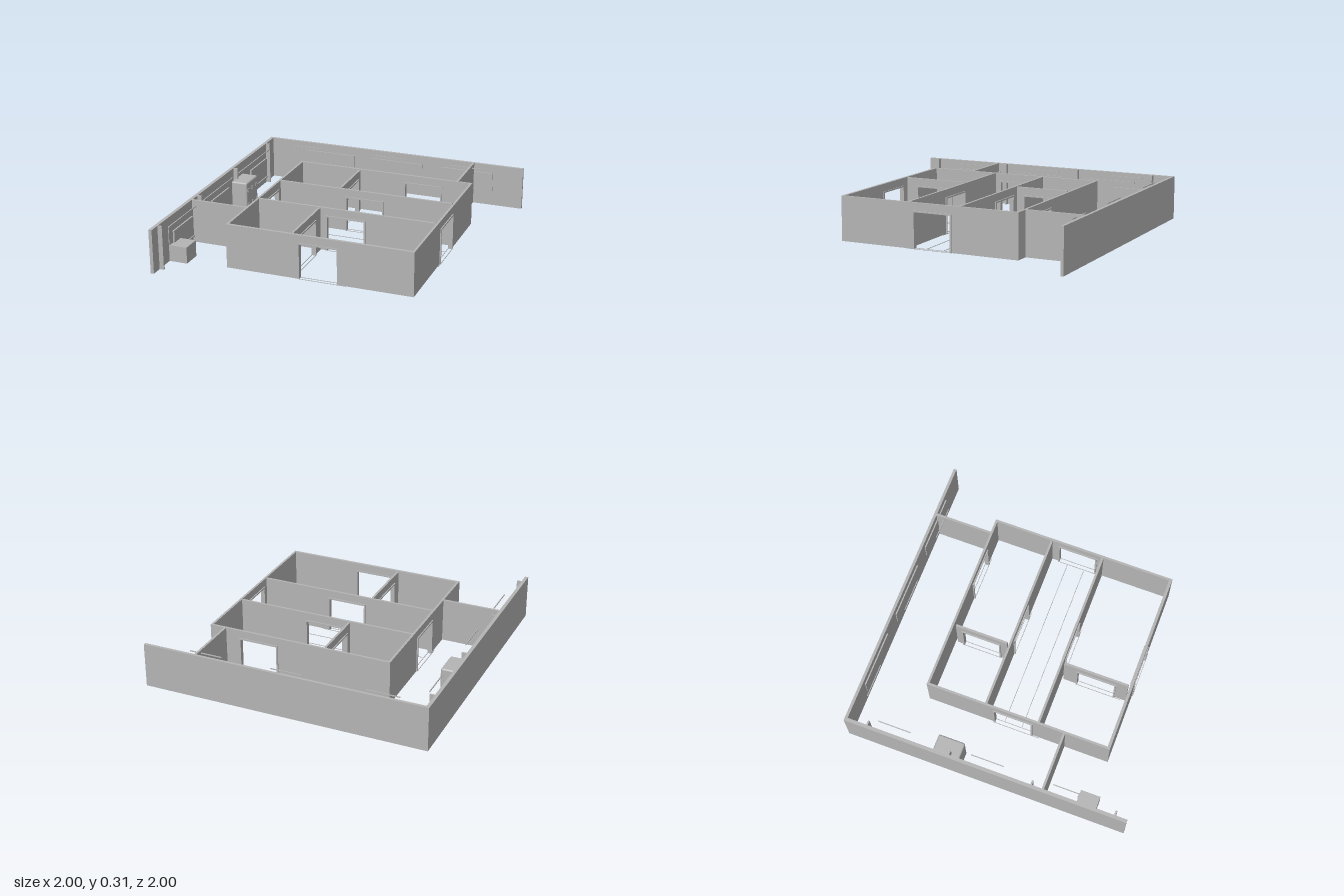
import * as THREE from 'three';
import { RoundedBoxGeometry } from 'three/addons/geometries/RoundedBoxGeometry.js';

const HEIGHT = 0.31, DOOR_TOP = 0.25, DOOR_WIDTH = 0.27;

export function createModel() {
  const model = new THREE.Group();
  model.name = 'floorPlan';
  const plaster = new THREE.MeshStandardMaterial({ color: 0xb4b4b4 });
  plaster.name = 'grey plaster';

  // Box given by its two extremes on each axis
  function box(name, x0, x1, y0, y1, z0, z1, parent = model) {
    const mesh = new THREE.Mesh(new THREE.BoxGeometry(x1 - x0, y1 - y0, z1 - z0), plaster);
    mesh.position.set((x0 + x1) / 2, (y0 + y1) / 2, (z0 + z1) / 2);
    mesh.name = name;
    parent.add(mesh);
    return mesh;
  }

  // Wall running along x or z, with an optional doorway starting at `door`
  function wall(name, axis, from, to, at, door = null, thick = 0.02) {
    const group = new THREE.Group();
    group.name = name;
    const outline = [[from, 0]];
    if (door !== null) {
      const end = door + DOOR_WIDTH;
      outline.push([door, 0], [door, DOOR_TOP], [end, DOOR_TOP], [end, 0]);
    }
    outline.push([to, 0], [to, HEIGHT], [from, HEIGHT]);
    const shape = new THREE.Shape(outline.map(([x, y]) => new THREE.Vector2(x, y)));
    const geometry = new THREE.ExtrudeGeometry(shape, { depth: thick, bevelEnabled: false });
    geometry.translate(0, 0, -thick / 2);
    const panel = new THREE.Mesh(geometry, plaster);
    panel.name = name + 'Panel';
    group.add(panel);

    if (door !== null) {
      // Door lining and the floor track that runs past the doorway
      const end = door + DOOR_WIDTH, d = 0.016;
      box('doorJamb', door - 0.008, door + 0.003, 0, DOOR_TOP, -d, d, group);
      box('doorJamb', end - 0.003, end + 0.008, 0, DOOR_TOP, -d, d, group);
      box('doorHead', door - 0.008, end + 0.008, DOOR_TOP - 0.004, DOOR_TOP + 0.006, -d, d, group);
      for (const s of [-1, 1]) {
        box('doorTrack', door - 0.008, end + 0.055, 0, 0.003, s * 0.014 - 0.002, s * 0.014 + 0.002, group);
      }
    }
    if (axis === 'z') {
      group.rotation.y = -Math.PI / 2;
      group.position.x = at;
    } else {
      group.position.z = at;
    }
    model.add(group);
  }

  // Boundary walls and the walls that join them to the rooms
  wall('backBoundary', 'x', -1, 1, -0.99);
  wall('rightBoundary', 'z', -1, 1, -0.988, null, 0.024);
  wall('backLink', 'z', -0.98, -0.575, 0.625, null, 0.016);
  wall('sideLink', 'x', -0.976, -0.57, 0.412, null, 0.016);

  // Room block
  wall('frontWall', 'x', -0.57, 0.735, 0.725, -0.053);
  wall('frontCorridorWall', 'x', -0.555, 0.715, 0.227, -0.053, 0.016);
  wall('backCorridorWall', 'x', -0.555, 0.715, -0.15, -0.053, 0.016);
  wall('rearWall', 'x', -0.57, 0.735, -0.567, 0.24, 0.016);
  wall('rightWall', 'z', -0.575, 0.735, -0.563, -0.09, 0.016);
  wall('leftWall', 'z', -0.575, 0.735, 0.727, -0.09, 0.016);
  wall('frontPartition', 'z', 0.245, 0.705, -0.105, 0.345, 0.016);
  wall('backPartition', 'z', -0.545, -0.17, -0.105, -0.495, 0.016);

  // Thin guide lines on the corridor floor
  for (const z of [-0.025, 0.1]) box('corridorLine', -0.54, 0.705, 0, 0.003, z - 0.002, z + 0.002);

  // Display boards and hanging rods along the back boundary
  for (const x of [-0.7, -0.155, 0.385]) {
    box('backBoard', x, x + 0.392, 0.11, 0.247, -0.98, -0.974);
    box('backBoardLedge', x, x + 0.392, 0.242, 0.248, -0.98, -0.971);
  }
  for (const x of [-0.782, -0.117, 0.465]) {
    box('backRod', x, x + 0.232, 0.287, 0.293, -0.924, -0.918);
  }

  // Boards, trays and hanging rods along the right boundary
  for (const z of [-0.7, -0.15, 0.385]) {
    box('sideBoard', -0.976, -0.971, 0.11, 0.247, z, z + 0.392);
    box('sideBoardLedge', -0.976, -0.968, 0.242, 0.248, z, z + 0.392);
  }
  for (const z of [-0.81, -0.142, 0.44]) {
    box('sidePanel', -0.971, -0.96, 0.06, 0.2, z, z + 0.283);
    box('sideTray', -0.976, -0.953, 0.05, 0.06, z, z + 0.283);
    box('sideRod', -0.923, -0.917, 0.287, 0.293, z + 0.025, z + 0.257);
  }

  // Pilasters on the right boundary
  for (const z of [-0.84, -0.256, 0.33, 0.914]) {
    box('pilaster', -0.976, -0.944, 0, HEIGHT, z - 0.006, z + 0.006);
  }

  // Tall rounded cabinet with small handles
  const cabinet = new THREE.Mesh(new RoundedBoxGeometry(0.122, 0.23, 0.19, 3, 0.012), plaster);
  cabinet.name = 'tallCabinet';
  cabinet.position.set(-0.906, 0.115, -0.285);
  model.add(cabinet);
  for (const z of [-0.355, -0.285, -0.215]) {
    for (const y of [0.06, 0.17]) {
      box('cabinetHandle', -0.847, -0.84, y - 0.012, y + 0.012, z - 0.01, z + 0.01);
    }
  }

  // Low cabinet with handles on its rear face
  box('lowCabinet', -0.976, -0.846, 0, 0.115, 0.638, 0.776);
  for (const x of [-0.945, -0.88]) {
    for (const y of [0.04, 0.085]) {
      box('lowCabinetHandle', x - 0.014, x + 0.014, y - 0.005, y + 0.005, 0.631, 0.639);
    }
  }
  return model;
}
